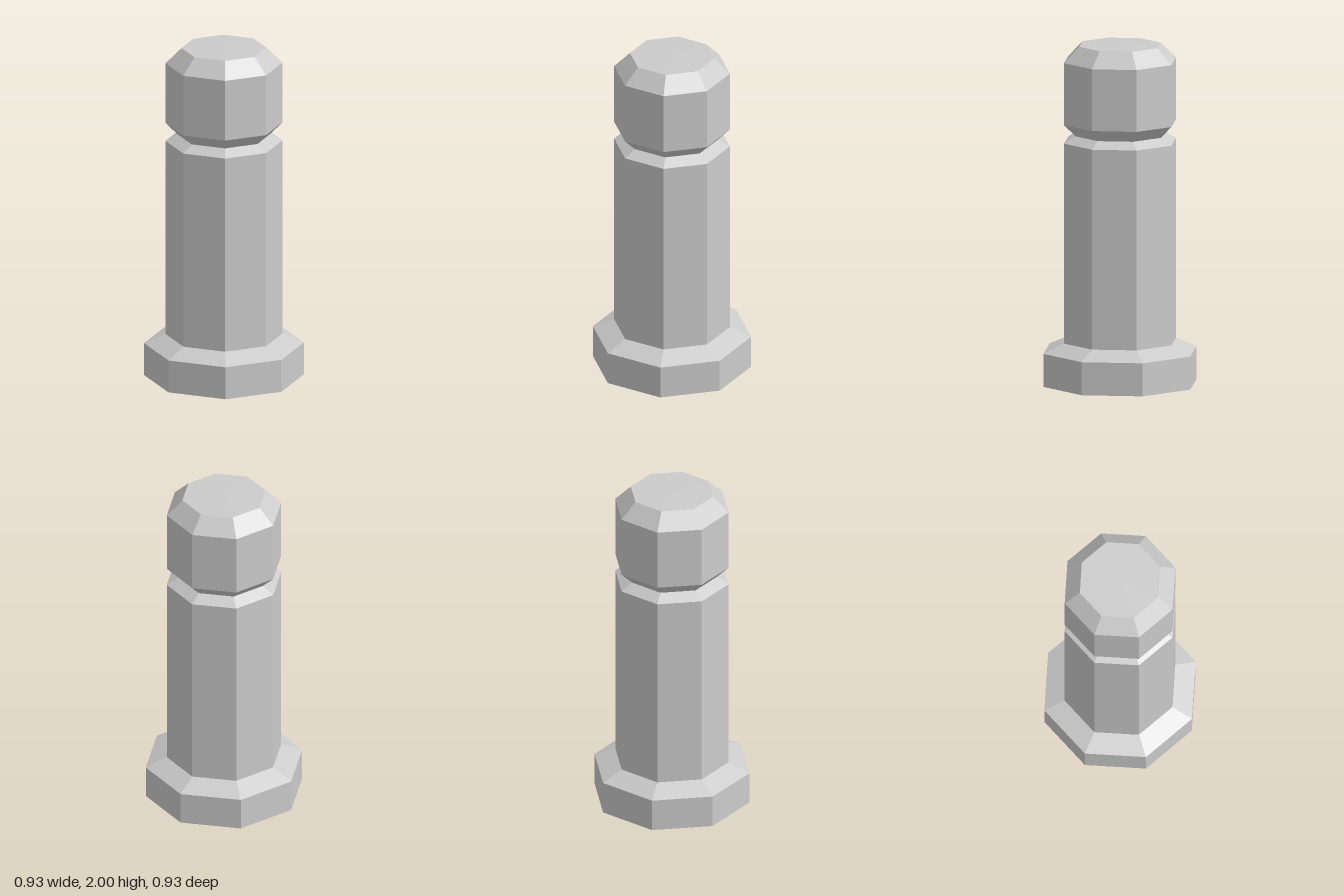
import * as THREE from 'three';

const SIDES = 8;

export function createModel() {
  const group = new THREE.Group();
  group.name = 'bollard';

  // Thin open shell, so the hollow inside shows from below
  const material = new THREE.MeshStandardMaterial({
    color: 0xcccccc,
    flatShading: true,
    side: THREE.DoubleSide,
  });

  // Eight-sided turned part from [radius, height] pairs, bottom to top
  const turned = (name, profile) => {
    const points = profile.map(([r, y]) => new THREE.Vector2(r, y));
    const mesh = new THREE.Mesh(new THREE.LatheGeometry(points, SIDES), material);
    mesh.name = name;
    group.add(mesh);
  };

  // Flanged foot, open underneath
  turned('base', [[0.465, 0], [0.465, 0.195], [0.34, 0.25]]);

  // Straight post, bevelled into the groove
  turned('shaft', [[0.34, 0.25], [0.34, 1.43], [0.27, 1.47]]);

  // Head flaring out of the groove, with chamfered rim and nearly flat top
  turned('head', [[0.27, 1.47], [0.34, 1.54], [0.34, 1.905], [0.247, 1.997], [0, 2]]);

  return group;
}
